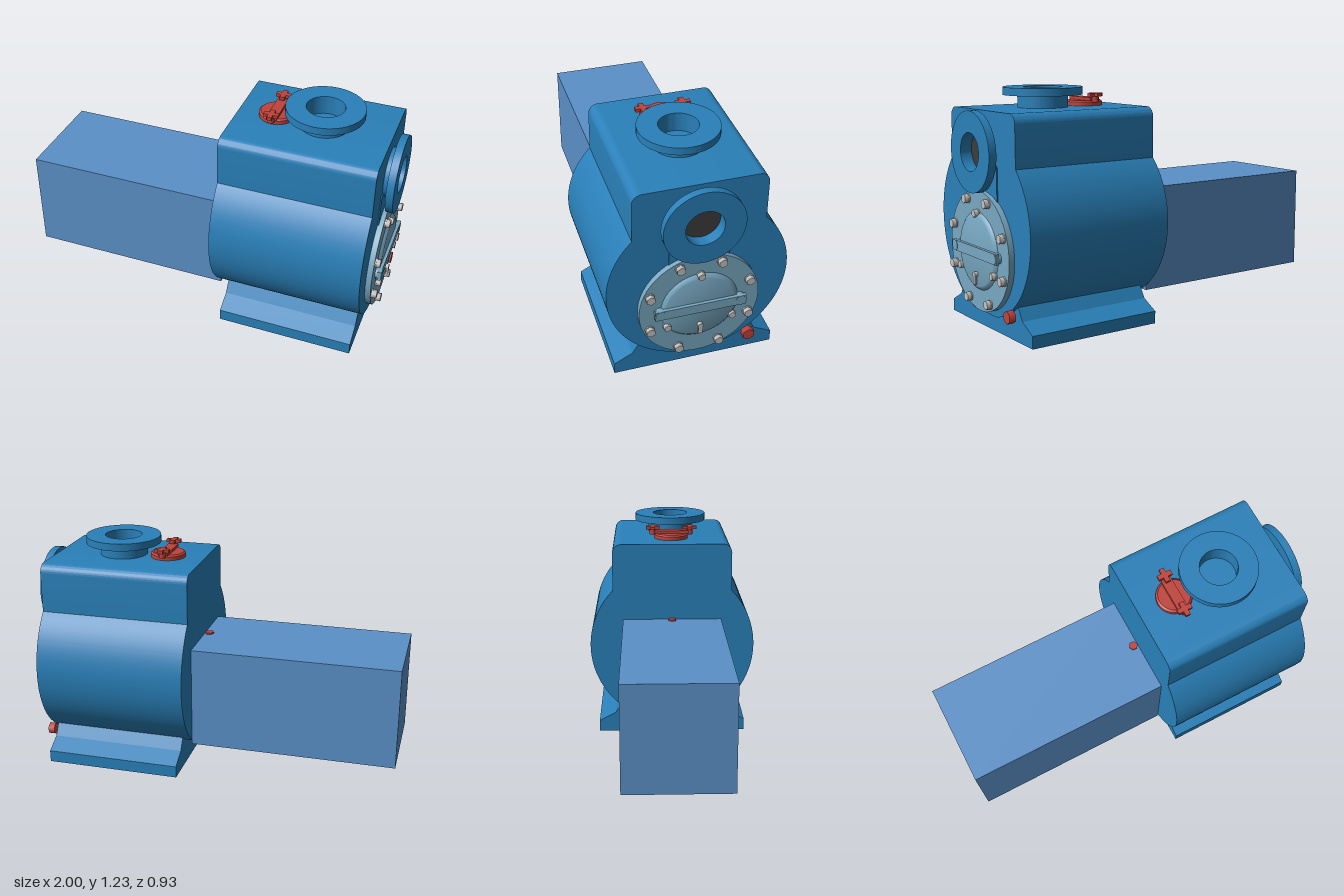
import * as THREE from 'three';
import { toCreasedNormals } from 'three/addons/utils/BufferGeometryUtils.js';

const mat = (name, color) => Object.assign(new THREE.MeshStandardMaterial({ color }), { name });

export function createModel() {
  const blue = mat('pumpBlue', 0x2980b9);
  const motorBlue = mat('motorBlue', 0x5b90c8);
  const paleBlue = mat('coverBlue', 0x78a8c2);
  const red = mat('capRed', 0xc0433b);
  const steel = mat('boltSteel', 0xc4c4c4);
  const dark = mat('boreDark', 0x3c3c3c);

  const model = new THREE.Group();
  model.name = 'pump';

  const add = (name, geometry, material, x = 0, y = 0, z = 0, parent = model) => {
    const mesh = new THREE.Mesh(geometry, material);
    mesh.name = name;
    mesh.position.set(x, y, z);
    parent.add(mesh);
    return mesh;
  };
  const box = (x, y, z) => new THREE.BoxGeometry(x, y, z);
  // Cylinder whose axis runs along x
  const rod = (r, len, sides = 32) =>
    new THREE.CylinderGeometry(r, r, len, sides).rotateY(Math.PI / 6).rotateZ(-Math.PI / 2);
  const lathe = (points, sides = 64) => toCreasedNormals(
    new THREE.LatheGeometry(points.map(([r, y]) => new THREE.Vector2(r, y)), sides), 0.5);
  // Shape drawn in (z, y), extruded along x
  const extrudeX = (shape, depth) => toCreasedNormals(
    new THREE.ExtrudeGeometry(shape, { depth, bevelEnabled: false, curveSegments: 48 })
      .rotateY(Math.PI / 2), 0.5);

  // Casing: round volute with a square-shouldered top and a flat underside
  const R = 0.465, cy = 0.54, w = 0.335, top = 1.125, corner = 0.05;
  const neck = Math.acos(w / R);
  const foot = -Math.acos(0.117 / R);
  const casing = new THREE.Shape();
  casing.moveTo(0.117, 0.09);
  casing.absarc(0, cy, R, foot, neck, false);
  casing.lineTo(w, top - corner);
  casing.absarc(w - corner, top - corner, corner, 0, Math.PI / 2, false);
  casing.lineTo(-w + corner, top);
  casing.absarc(-w + corner, top - corner, corner, Math.PI / 2, Math.PI, false);
  casing.lineTo(-w, cy + R * Math.sin(neck));
  casing.absarc(0, cy, R, Math.PI - neck, Math.PI - foot, false);
  casing.closePath();
  add('casing', extrudeX(casing, 0.815), blue, 0.115);

  // Base with flared feet
  const half = [[0.425, 0], [0.425, 0.065], [0.33, 0.115], [0.29, 0.18]];
  const base = new THREE.Shape([
    ...half, ...half.slice().reverse().map(([z, y]) => [-z, y]),
  ].map(([z, y]) => new THREE.Vector2(z, y)));
  add('base', extrudeX(base, 0.74), blue, 0.165);

  // Motor block
  add('motor', box(1.115, 0.555, 0.555), motorBlue, -0.4425, 0.4175, 0);
  add('motorPlug', new THREE.CylinderGeometry(0.025, 0.025, 0.012, 6).rotateY(Math.PI / 6), red, 0.09, 0.697, 0);

  // Top outlet and end inlet flanges
  add('outletFlange', lathe([
    [0.13, 0], [0.13, 0.065], [0.205, 0.065], [0.205, 0.105], [0.1, 0.105], [0.1, 0.004], [0, 0.004],
  ]), blue, 0.575, 1.125, 0);
  add('inletFlange', lathe([
    [0.13, 0], [0.13, 0.03], [0.205, 0.03], [0.205, 0.07], [0.097, 0.07], [0.097, 0.002], [0, 0.002],
  ]).rotateZ(-Math.PI / 2), blue, 0.93, 0.92, 0);
  add('inletBore', rod(0.096, 0.006, 48), dark, 0.936, 0.92, 0);
  add('inletPad', box(0.012, 0.22, 0.31), blue, 0.93, 0.75, 0);

  // Round inspection cover with a raised centre
  const coverY = 0.415;
  const cover = new THREE.Group();
  cover.name = 'cover';
  cover.position.set(0.93, coverY, 0);
  model.add(cover);
  add('coverPlate', lathe([
    [0.31, 0], [0.31, 0.03], [0.2, 0.03], [0.193, 0.036], [0.185, 0.043], [0.177, 0.046], [0, 0.046],
  ]).rotateZ(-Math.PI / 2), paleBlue, 0, 0, 0, cover);
  add('handleBar', box(0.018, 0.055, 0.47), paleBlue, 0.053, 0, 0, cover);
  for (const s of [-1, 1]) add('handlePost', rod(0.028, 0.034), paleBlue, 0.047, 0, s * 0.207, cover);

  // Hex bolts with washers
  const bolt = (radius, angle, size) => {
    const y = radius * Math.sin(angle), z = radius * Math.cos(angle);
    add('washer', rod(size * 1.05, 0.006, 20), steel, 0.033, y, z, cover);
    add('coverBolt', rod(size, 0.022, 6), steel, 0.047, y, z, cover);
  };
  for (let i = 0; i < 8; i++) bolt(0.277, (i + 0.5) * Math.PI / 4, 0.024);
  for (let i = 0; i < 3; i++) bolt(0.195, Math.PI / 2 + i * 2 * Math.PI / 3, 0.02);

  // Small vent tap
  add('ventStem', rod(0.014, 0.02, 16), steel, 0.054, -0.117, 0, cover);
  add('ventLever', box(0.012, 0.05, 0.022), steel, 0.058, -0.142, 0, cover);

  // Drain plug
  add('drainPlug', rod(0.034, 0.035, 6), red, 0.945, 0.132, -0.277);

  // Filler cap with a clamp bar and two cross knobs
  const cap = new THREE.Group();
  cap.name = 'fillerCap';
  cap.position.set(0.32, top, 0);
  model.add(cap);
  add('capDisc', lathe([[0.095, 0], [0.095, 0.02], [0.085, 0.028], [0, 0.028]], 40), red, 0, 0, 0, cap);
  add('clampBar', box(0.055, 0.016, 0.2), red, 0, 0.036, 0, cap);
  for (const s of [-1, 1]) {
    add('knobStem', new THREE.CylinderGeometry(0.018, 0.018, 0.04, 16), red, 0, 0.04, s * 0.105, cap);
    add('knobArmAcross', box(0.078, 0.018, 0.026), red, 0, 0.059, s * 0.105, cap);
    add('knobArmAlong', box(0.026, 0.018, 0.078), red, 0, 0.059, s * 0.105, cap);
  }

  return model;
}
